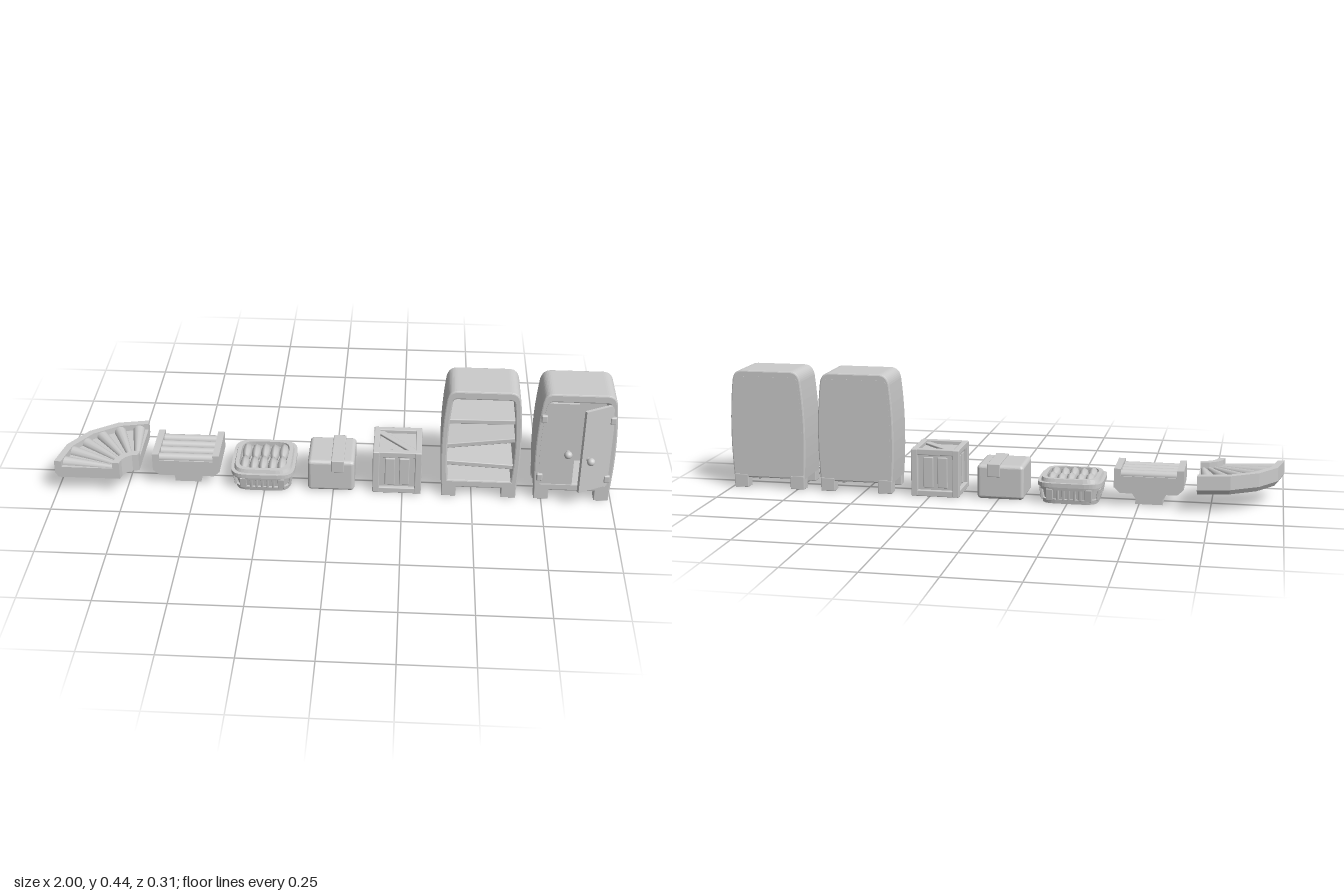
import * as THREE from 'three';
import { RoundedBoxGeometry } from 'three/addons/geometries/RoundedBoxGeometry.js';

const smooth = new THREE.MeshStandardMaterial({ color: 0xcccccc });
const flat = new THREE.MeshStandardMaterial({ color: 0xcccccc, flatShading: true, side: THREE.DoubleSide });

function add(parent, name, geo, x = 0, y = 0, z = 0, mat = smooth) {
  const m = new THREE.Mesh(geo, mat);
  m.name = name;
  m.position.set(x, y, z);
  parent.add(m);
  return m;
}
const box = (w, h, d, r = 0.003) => new RoundedBoxGeometry(w, h, d, 1, r);
const shapeOf = pts => new THREE.Shape(pts.map(p => new THREE.Vector2(...p)));
function group(parent, name, x, y, z) {
  const g = new THREE.Group();
  g.name = name;
  g.position.set(x, y, z);
  parent.add(g);
  return g;
}

// Surface through rounded-square rings, each ring = [half width, half depth, y]
function loft(rings, n = 40) {
  const pos = [], idx = [];
  rings.forEach(([a, b, y]) => {
    for (let i = 0; i < n; i++) {
      const t = (i / n) * Math.PI * 2, c = Math.cos(t), s = Math.sin(t);
      pos.push(a * Math.sign(c) * Math.abs(c) ** 0.4, y, b * Math.sign(s) * Math.abs(s) ** 0.4);
    }
  });
  for (let r = 0; r < rings.length - 1; r++)
    for (let i = 0; i < n; i++) {
      const a = r * n + i, b = r * n + ((i + 1) % n);
      idx.push(a, a + n, b, b, a + n, b + n);
    }
  const g = new THREE.BufferGeometry();
  g.setAttribute('position', new THREE.Float32BufferAttribute(pos, 3));
  g.setIndex(idx);
  g.computeVertexNormals();
  return g;
}

// Quarter-turn conveyor with a swept channel profile and tapered rollers
function curvedConveyor(root) {
  const g = group(root, 'curvedConveyor', -0.705, 0, 0.14);
  const prof = [[0.06, 0.065], [0.283, 0.065], [0.295, 0.083], [0.295, 0.132], [0.27, 0.132],
    [0.27, 0.108], [0.085, 0.108], [0.085, 0.132], [0.06, 0.132], [0.06, 0.065]];
  add(g, 'curvedBed', new THREE.LatheGeometry(prof.map(p => new THREE.Vector2(...p)), 4, Math.PI, Math.PI / 2), 0, 0, 0, flat);
  for (const a of [Math.PI / 2, Math.PI])
    add(g, 'bedEnd', new THREE.ShapeGeometry(shapeOf(prof.slice(0, -1))), 0, 0, 0, flat).rotation.y = a;
  for (let i = 0; i < 6; i++) {
    const roller = group(g, 'roller', 0, 0, 0);
    roller.rotation.y = Math.PI / 2 + ((i + 0.5) / 6) * Math.PI / 2;
    add(roller, 'taperedRoller', new THREE.CylinderGeometry(0.009, 0.023, 0.185, 12), 0.1775, 0.106, 0).rotation.z = Math.PI / 2;
  }
}

// Straight conveyor on a pedestal
function straightConveyor(root) {
  const g = group(root, 'straightConveyor', -0.535, 0, -0.01);
  const right = [[0.1, 0.045], [0.122, 0.065], [0.122, 0.132], [0.098, 0.132], [0.098, 0.106]];
  const left = right.map(([x, y]) => [-x, y]).reverse();
  const bed = new THREE.ExtrudeGeometry(shapeOf([...right, ...left]), { depth: 0.17, bevelEnabled: false });
  add(g, 'bed', bed, 0, 0, -0.085, flat);
  const foot = shapeOf([[-0.048, 0], [0.048, 0], [0.048, 0.02], [0.067, 0.047], [-0.067, 0.047], [-0.048, 0.02]]);
  add(g, 'pedestal', new THREE.ExtrudeGeometry(foot, { depth: 0.11, bevelEnabled: false }), 0, 0, -0.055, flat);
  for (let i = 0; i < 4; i++)
    add(g, 'roller', new THREE.CylinderGeometry(0.017, 0.017, 0.196, 14), 0, 0.108, -0.063 + i * 0.042).rotation.z = Math.PI / 2;
}

// Tapered basket with ribs, rim and a layer of spindle-shaped goods
function basket(root) {
  const g = group(root, 'basket', -0.257, 0, -0.012);
  add(g, 'wall', loft([[0.001, 0.001, 0.004], [0.093, 0.093, 0.004], [0.105, 0.103, 0.07], [0.09, 0.088, 0.07],
    [0.085, 0.083, 0.05], [0.001, 0.001, 0.05]]), 0, 0, 0, flat);
  const band = (name, y0, y1, h0, h1, inner) => add(g, name, loft([[inner, inner, y0], [h0, h0, y0], [h1, h1, y1],
    [inner, inner, y1], [inner, inner, y0]]), 0, 0, 0, flat);
  band('bottomBand', 0, 0.016, 0.1, 0.103, 0.085);
  band('upperBand', 0.05, 0.062, 0.109, 0.111, 0.088);
  band('rim', 0.062, 0.077, 0.117, 0.117, 0.088);
  band('innerRim', 0.077, 0.09, 0.106, 0.102, 0.088);
  for (let s = 0; s < 4; s++) {
    const side = group(g, 'basketSide', 0, 0, 0);
    side.rotation.y = s * Math.PI / 2;
    for (let i = -3; i <= 3; i++) {
      const wide = Math.abs(i) === 3;
      add(side, 'rib', box(wide ? 0.024 : 0.009, 0.044, 0.01, 0.002), i * (wide ? 0.023 : 0.02), 0.033, 0.101).rotation.x = 0.16;
    }
  }
  const spindle = new THREE.SphereGeometry(1, 8, 6);
  spindle.rotateX(Math.PI / 2);
  spindle.scale(0.018, 0.028, 0.043);
  for (const z of [-0.042, 0.042])
    for (let i = -2; i <= 2; i++)
      add(g, 'goods', spindle, i * 0.034, 0.07 + (i % 2 ? 0 : 0.003), z);
}

// Parcel with a tape strip over the lid
function parcel(root) {
  const g = group(root, 'parcel', -0.008, 0, -0.011);
  const body = new RoundedBoxGeometry(0.165, 0.125, 0.17, 4, 0.012);
  const p = body.attributes.position;
  for (let i = 0; i < p.count; i++) {
    const k = 1 + 0.06 * (1 - (p.getY(i) / 0.0625) ** 2);
    p.setX(i, p.getX(i) * k);
    p.setZ(i, p.getZ(i) * k);
  }
  body.computeVertexNormals();
  add(g, 'parcelBody', body, 0, 0.0625, 0);
  add(g, 'tapeTop', box(0.046, 0.012, 0.178), 0.024, 0.124, 0);
  for (const s of [-1, 1]) add(g, 'tapeEnd', box(0.046, 0.048, 0.01), 0.024, 0.106, s * 0.085);
}

// Crate: twelve beams, side planks, braced top and bottom
function crate(root) {
  const g = group(root, 'crate', 0.23, 0.086, -0.012);
  const c = 0.076, t = 0.024, L = 0.176;
  add(g, 'core', box(0.146, 0.146, 0.146));
  for (const a of [-c, c])
    for (const b of [-c, c]) {
      add(g, 'beamX', box(L - 0.003, t - 0.002, t - 0.002), 0, a, b);
      add(g, 'beamY', box(t, L - 0.004, t), a, 0, b);
      add(g, 'beamZ', box(t - 0.002, t - 0.002, L - 0.003), a, b, 0);
    }
  for (let s = 0; s < 4; s++) {
    const side = group(g, 'crateSide', 0, 0, 0);
    side.rotation.y = s * Math.PI / 2;
    for (const x of [-0.026, 0.026]) add(side, 'plank', box(0.036, 0.112, 0.014), x, 0, 0.073);
  }
  for (const y of [-0.074, 0.074]) add(g, 'brace', box(0.2, 0.014, 0.026), 0, y, 0).rotation.y = -Math.PI / 4;
}

// Barrel-sided cabinet shell with four feet
const holeShape = (grow = 0) => {
  const s = new THREE.Shape(), a = 0.113 + grow, t = 0.405 + grow, b = 0.068 - grow;
  s.moveTo(-a, b);
  s.lineTo(a, b);
  s.quadraticCurveTo(a + 0.014, 0.23, a - 0.006, t - 0.015);
  s.quadraticCurveTo(a - 0.008, t, a - 0.022, t);
  s.lineTo(-a + 0.022, t);
  s.quadraticCurveTo(-a + 0.008, t, -a + 0.006, t - 0.015);
  s.quadraticCurveTo(-a - 0.014, 0.23, -a, b);
  return s;
};
function cabinet(root, name, x) {
  const g = group(root, name, x, 0, 0);
  const s = new THREE.Shape();
  s.moveTo(-0.135, 0.038);
  s.lineTo(0.135, 0.038);
  s.quadraticCurveTo(0.15, 0.23, 0.129, 0.4);
  s.quadraticCurveTo(0.123, 0.437, 0.09, 0.437);
  s.lineTo(-0.09, 0.437);
  s.quadraticCurveTo(-0.123, 0.437, -0.129, 0.4);
  s.quadraticCurveTo(-0.15, 0.23, -0.135, 0.038);
  s.holes.push(holeShape());
  const e = 0.005;
  const shell = new THREE.ExtrudeGeometry(s, { depth: 0.175 - 2 * e, bevelSize: e, bevelThickness: e, bevelOffset: -e, bevelSegments: 2, curveSegments: 10 });
  add(g, 'shell', shell, 0, 0, -0.094 + e);
  add(g, 'backPanel', new THREE.ExtrudeGeometry(holeShape(0.01), { depth: 0.02, bevelEnabled: false }), 0, 0, -0.0945);
  for (const sx of [-1, 1])
    for (const z of [-0.0735, 0.0595]) add(g, 'foot', box(0.053, 0.05, 0.043), sx * 0.1075, 0.025, z);
  return g;
}

function bookshelf(root) {
  const g = cabinet(root, 'bookshelf', 0.525);
  for (const [y, tilt] of [[0.31, 0.015], [0.222, 0.13], [0.13, -0.05]])
    add(g, 'shelf', box(0.245, 0.018, 0.15), 0, y, -0.004).rotation.z = tilt;
}

// Wardrobe with one closed door and one ajar
function wardrobe(root) {
  const g = cabinet(root, 'wardrobe', 0.857);
  for (const s of [-1, 1]) {
    const door = group(g, s < 0 ? 'closedDoor' : 'openDoor', s * 0.119, 0, 0.077);
    if (s > 0) door.rotation.y = 0.48;
    const d = new THREE.Shape();
    d.moveTo(0, 0.068);
    d.lineTo(-s * 0.117, 0.068);
    d.lineTo(-s * 0.117, 0.402);
    d.lineTo(-s * 0.016, 0.402);
    d.quadraticCurveTo(-s * 0.006, 0.4, -s * 0.004, 0.385);
    d.quadraticCurveTo(s * 0.012, 0.23, 0, 0.068);
    add(door, 'doorPanel', new THREE.ExtrudeGeometry(d, { depth: 0.012, bevelEnabled: false }), 0, 0, -0.006);
    add(door, 'knobStem', new THREE.CylinderGeometry(0.006, 0.008, 0.018, 12), -s * 0.092, 0.205, 0.012).rotation.x = Math.PI / 2;
    add(door, 'knob', new THREE.SphereGeometry(0.0145, 16, 12), -s * 0.092, 0.205, 0.025);
    for (const y of [0.098, 0.341]) add(g, 'hinge', box(0.022, 0.03, 0.016, 0.005), s * 0.119, y, 0.084);
  }
}

export function createModel() {
  const root = new THREE.Group();
  root.name = 'storageSet';
  [curvedConveyor, straightConveyor, basket, parcel, crate, bookshelf, wardrobe].forEach(build => build(root));
  return root;
}
